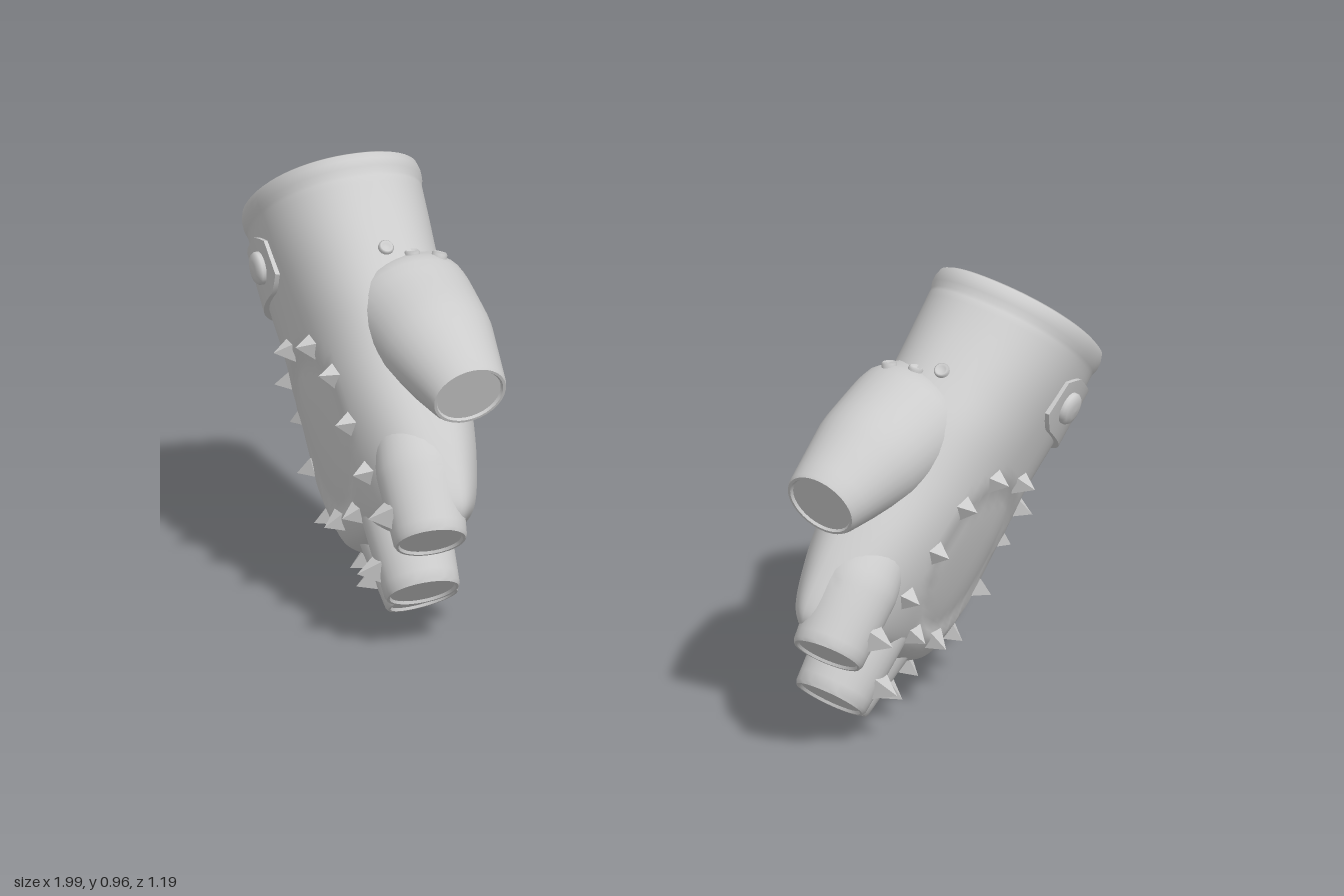
import * as THREE from 'three';
import { toCreasedNormals } from 'three/addons/utils/BufferGeometryUtils.js';

// Glove space: x towards the little finger, y towards the cuff, z out of the back of the hand.
const V = (x, y, z) => new THREE.Vector3(x, y, z);
const SEG = 56;
const material = new THREE.MeshStandardMaterial({ color: 0xcccccc });

// Skin a list of equal-length rings of points.
function loft(rings) {
  const n = rings[0].length, index = [];
  for (let i = 0; i < rings.length - 1; i++) {
    for (let j = 0; j < n; j++) {
      const a = i * n + j, b = i * n + (j + 1) % n;
      index.push(a, b, a + n, b, b + n, a + n);
    }
  }
  const g = new THREE.BufferGeometry().setFromPoints(rings.flat());
  g.setIndex(index);
  g.computeVertexNormals();
  return g;
}

// Hand sections: y, xMin, xMax, zMin, zMax, slant of the section along x.
const sections = [
  [0.00, -0.235, 0.24, -0.185, 0.185, 0],
  [-0.11, -0.248, 0.24, -0.18, 0.18, 0],
  [-0.22, -0.268, 0.235, -0.172, 0.17, 0],
  [-0.33, -0.29, 0.222, -0.17, 0.163, 0],
  [-0.46, -0.3, 0.235, -0.17, 0.158, 0.03],
  [-0.58, -0.318, 0.258, -0.165, 0.146, 0.08],
  [-0.68, -0.325, 0.262, -0.155, 0.13, 0.14],
  [-0.76, -0.318, 0.255, -0.135, 0.105, 0.2],
  [-0.8, -0.28, 0.22, -0.09, 0.06, 0.24],
];
const spline = new THREE.CubicInterpolant(sections.map((_, i) => i), sections.flat(), 6);

// Point on section t at angle th, scaled about the section centre.
function handPoint(t, th, scale = 1, y = null) {
  const [sy, x0, x1, z0, z1, slant] = spline.evaluate(t);
  // Round at the cuff, squarer across the knuckles
  const power = 0.93 - 0.15 * Math.min(1, t / 4);
  const soft = (v) => Math.sign(v) * Math.abs(v) ** power;
  const x = (x0 + x1) / 2 + soft(Math.cos(th)) * scale * (x1 - x0) / 2;
  let z = (z0 + z1) / 2 + soft(Math.sin(th)) * scale * (z1 - z0) / 2;
  // Heel of the palm drops towards the little finger
  z -= slant * x * 0.8 * Math.max(0, -Math.sin(th));
  const py = (y ?? sy) + slant * x;
  // Sunken panel on the back of the hand
  if (z > 0) {
    const r = Math.hypot(x / 0.18, (py + 0.53) / 0.19);
    z -= 0.012 * (1 - THREE.MathUtils.smoothstep(r, 0.85, 1.0));
  }
  return V(x, py, z);
}
const handRing = (t, scale, y) =>
  Array.from({ length: SEG }, (_, j) => handPoint(t, j / SEG * Math.PI * 2, scale, y));

function handGeometry() {
  // Bowl-shaped lining, then the rolled hem
  const rows = [[0, -0.23], [0.3, -0.222], [0.55, -0.195], [0.73, -0.15], [0.84, -0.09], [0.89, -0.02], [0.915, 0.005],
    [0.96, 0.014], [1.0, 0.01], [1.022, -0.005], [1.022, -0.022], [1.0, -0.035]];
  const rings = rows.map(([s, y]) => handRing(0, s, y));
  const steps = 60, last = sections.length - 1;
  for (let i = 3; i <= steps; i++) rings.push(handRing(i / steps * last));
  rings.push(handRing(last, 0));
  return loft(rings);
}

// Finger stub along a path, with a shallow recess in its cut end.
function fingerGeometry(points, rx, rz) {
  const path = new THREE.CatmullRomCurve3(points.map((p) => V(...p)));
  const lerpList = (list, t) => {
    const f = t * (list.length - 1), i = Math.min(Math.floor(f), list.length - 2);
    return THREE.MathUtils.lerp(list[i], list[i + 1], f - i);
  };
  const ring = (t, scale, push = 0) => {
    const T = path.getTangent(t), c = path.getPoint(t).addScaledVector(T, push);
    const Q = V(0, 0, 1).addScaledVector(T, -T.z).normalize();
    const P = Q.clone().cross(T);
    return Array.from({ length: 32 }, (_, j) => {
      const th = j / 32 * Math.PI * 2;
      return c.clone().addScaledVector(P, Math.cos(th) * scale * lerpList(rx, t))
        .addScaledVector(Q, Math.sin(th) * scale * lerpList(rz, t));
    });
  };
  const rings = [ring(0, 0)];
  for (let i = 0; i <= 16; i++) rings.push(ring(i / 16, 1));
  rings.push(ring(1, 0.95, 0.008), ring(1, 0.88, 0.008), ring(1, 0.84, 0.002), ring(1, 0, 0.002));
  return toCreasedNormals(loft(rings), 0.9);
}

// Strap wrapped from the back of the cuff round the little-finger side.
function strapGeometry() {
  const from = 1.72, to = -0.6, n = 30, rings = [];
  for (let i = 0; i <= n; i++) {
    const f = i / n, th = from + (to - from) * f;
    const h = Math.min(1, 0.62 + f * 6) * 0.066;
    const at = (dy, s) => {
      const y = -0.142 + 0.012 * f + dy;
      return handPoint(y / -0.11, th, s, y);
    };
    rings.push([at(h, 1.05), at(-h, 1.065), at(-h, 0.97), at(h, 0.97)]);
  }
  const cap = (r) => {
    const c = r.reduce((a, p) => a.add(p), V(0, 0, 0)).divideScalar(4);
    return r.map(() => c.clone());
  };
  rings.unshift(cap(rings[0]));
  rings.push(cap(rings[rings.length - 1]));
  return toCreasedNormals(loft(rings), 0.7);
}

const fingers = {
  indexFinger: [[[-0.22, -0.58, 0.01], [-0.245, -0.72, 0.025], [-0.252, -0.875, 0.035]], [0.07, 0.085, 0.077], [0.08, 0.092, 0.08]],
  middleFinger: [[[-0.07, -0.6, 0.01], [-0.08, -0.76, 0.02], [-0.08, -0.93, 0.02]], [0.075, 0.083, 0.077], [0.09, 0.095, 0.083]],
  ringFinger: [[[0.05, -0.6, 0], [0.06, -0.75, -0.01], [0.068, -0.9, -0.025]], [0.07, 0.076, 0.067], [0.09, 0.096, 0.083]],
  littleFinger: [[[0.17, -0.55, -0.02], [0.185, -0.67, -0.035], [0.19, -0.79, -0.06]], [0.06, 0.073, 0.066], [0.08, 0.095, 0.085]],
  thumb: [[[-0.14, -0.22, -0.03], [-0.195, -0.32, -0.05], [-0.3, -0.46, -0.06], [-0.388, -0.605, -0.075]],
    [0.06, 0.12, 0.114, 0.075], [0.1, 0.142, 0.128, 0.088]],
};
// Stud positions: x, y, size
const studs = [
  [-0.117, -0.37, 1], [-0.177, -0.46, 1], [-0.186, -0.575, 1], [-0.19, -0.69, 1], [-0.06, -0.735, 1], [0.075, -0.705, 1],
  [0.19, -0.655, 1], [0.188, -0.545, 1], [0.19, -0.43, 1], [0.137, -0.36, 1], [0.015, -0.33, 1],
  [-0.25, -0.81, 1.2], [-0.07, -0.87, 1.2], [0.09, -0.84, 1.1], [0.215, -0.755, 1],
];

function buildGlove(name, matrix, mirrored) {
  const glove = new THREE.Group();
  glove.name = name;
  const add = (part, geometry) => {
    const mesh = new THREE.Mesh(geometry, material);
    mesh.name = part;
    glove.add(mesh);
    return mesh;
  };
  const skin = [add('handAndCuff', handGeometry())];
  for (const [part, spec] of Object.entries(fingers)) skin.push(add(part, fingerGeometry(...spec)));
  skin.push(add('wristStrap', strapGeometry()));

  // Seat a y-up part on the surface found along a ray.
  const caster = new THREE.Raycaster();
  const seat = (part, geometry, point, up) => {
    caster.set(point.clone().addScaledVector(up, 0.6), up.clone().negate());
    const hit = caster.intersectObjects(skin, false)[0];
    if (!hit) return;
    const turn = new THREE.Quaternion().setFromUnitVectors(V(0, 1, 0), hit.face.normal);
    add(part, geometry.applyQuaternion(turn).translate(...hit.point.toArray()));
  };
  const back = V(0, 0, 1);
  for (const [x, y, s] of studs) {
    const g = new THREE.ConeGeometry(0.03 * s, 0.042 * s, 4).toNonIndexed();
    g.computeVertexNormals();
    seat('stud', g.translate(0, 0.016 * s, 0), V(x, y, 0), back);
  }
  const snap = new THREE.LatheGeometry([[0.036, -0.01], [0.036, 0.008], [0.031, 0.015], [0.018, 0.019], [0, 0.02]]
    .map((p) => new THREE.Vector2(...p)), 28);
  seat('strapSnap', snap, V(0.014, -0.14, 0), back);
  // Three rivets across the thumb base
  for (let k = -1; k <= 1; k++) {
    const rivet = new THREE.LatheGeometry([[0.017, -0.01], [0.017, 0.005], [0.013, 0.009], [0.009, 0.004], [0, 0.004]]
      .map((p) => new THREE.Vector2(...p)), 16);
    seat('thumbRivet', rivet, V(-0.29, -0.205 + k * 0.016, -0.07 + k * 0.057), V(-0.58, 0.78, -0.22).normalize());
  }

  // Move into place, reversing the faces of the mirrored glove.
  for (const { geometry } of glove.children) {
    geometry.applyMatrix4(matrix);
    if (!mirrored) continue;
    const count = geometry.index ? geometry.index.count : geometry.attributes.position.count;
    const ids = geometry.index ? Array.from(geometry.index.array) : Array.from({ length: count }, (_, i) => i);
    geometry.setIndex(ids.reverse());
  }
  return glove;
}

export function createModel() {
  const model = new THREE.Group();
  model.name = 'fingerlessGloves';
  const y = V(0.27, 0.78, -0.56).normalize();
  const z = V(0, -0.58, -0.81).cross(y).normalize();
  const x = y.clone().cross(z);
  const pose = new THREE.Matrix4().makeBasis(x, y, z);
  const left = new THREE.Matrix4().makeTranslation(0.805, 0.787, -0.17).multiply(pose);
  // The right glove is mirrored, turned and rolled about its own length.
  const right = new THREE.Matrix4().makeTranslation(-0.81, 0.81, -0.395)
    .multiply(new THREE.Matrix4().makeRotationY(0.2))
    .multiply(new THREE.Matrix4().makeScale(-1, 1, 1)).multiply(pose)
    .multiply(new THREE.Matrix4().makeRotationY(-0.35));
  model.add(buildGlove('leftGlove', left, false), buildGlove('rightGlove', right, true));
  return model;
}
